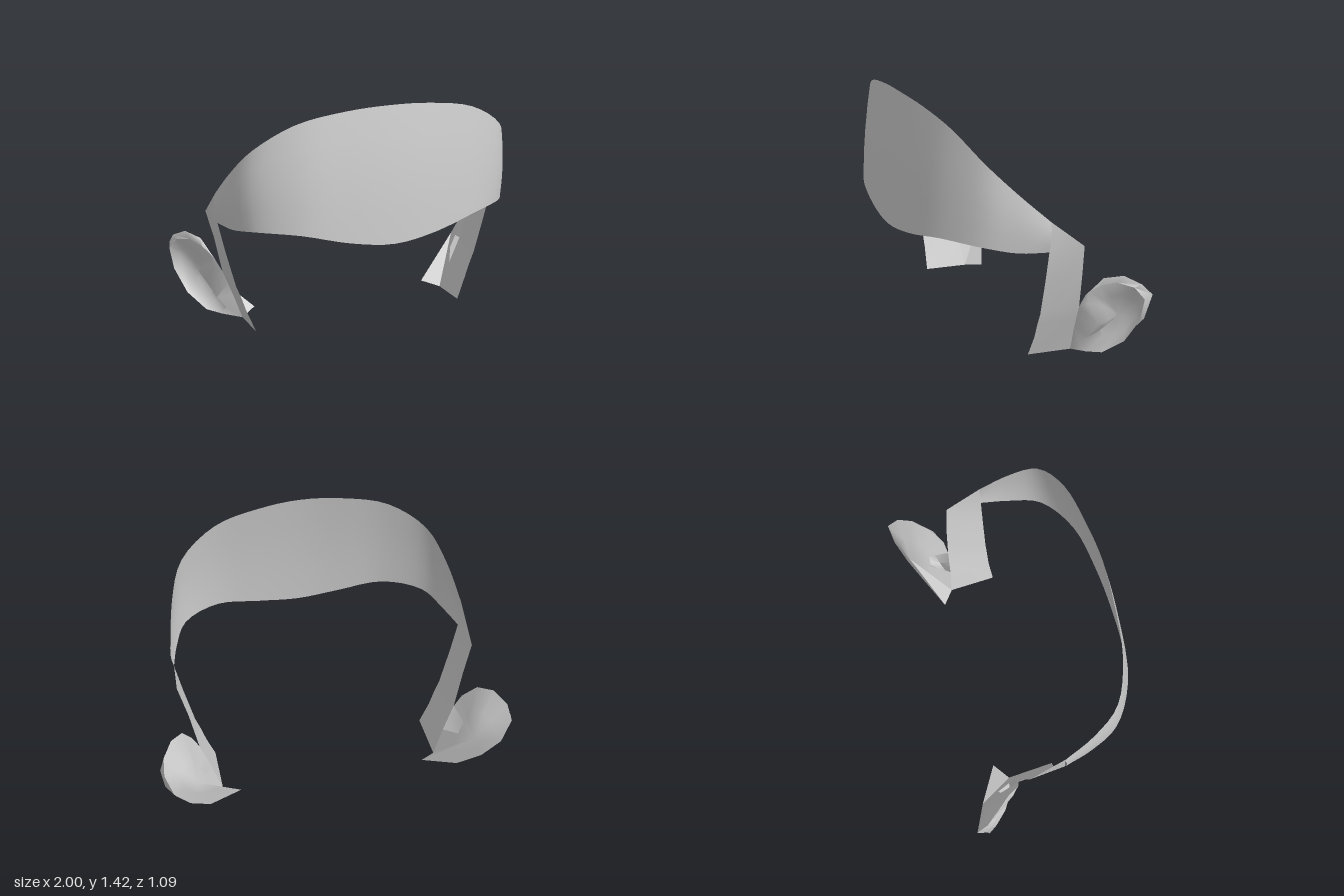
import * as THREE from 'three';
import { toCreasedNormals } from 'three/addons/utils/BufferGeometryUtils.js';

const material = new THREE.MeshStandardMaterial({ color: 0xcccccc, side: THREE.DoubleSide });
const V = (p) => new THREE.Vector3(...p);

// Skins neighbouring cross-sections; keep(row, column) may leave cells open.
function skin(name, rows, { side = 1, closed = false, crease = 0.8, keep = () => true } = {}) {
  const n = rows[0].length;
  const index = [];
  for (let r = 0; r < rows.length - 1; r++) {
    for (let c = 0; c < (closed ? n : n - 1); c++) {
      if (!keep(r, c)) continue;
      const d = (c + 1) % n;
      const a = r * n + c, b = r * n + d, e = a + n, f = b + n;
      index.push(a, e, b, b, e, f);
    }
  }
  const geometry = new THREE.BufferGeometry();
  const points = rows.flat().map((p) => new THREE.Vector3(p.x * side, p.y, p.z));
  geometry.setFromPoints(points);
  geometry.setIndex(index);
  const mesh = new THREE.Mesh(toCreasedNormals(geometry, crease), material);
  mesh.name = name;
  return mesh;
}

// Wide forehead band: matching points on its upper and lower edges, one half.
const bandTop = [[0, 1.43, 0.45], [0.24, 1.415, 0.435], [0.5, 1.36, 0.4],
  [0.71, 1.22, 0.315], [0.795, 1.06, 0.17], [0.835, 0.9, 0.005]];
const bandBottom = [[0, 0.69, 0.545], [0.24, 0.72, 0.53], [0.5, 0.778, 0.475],
  [0.71, 0.778, 0.34], [0.79, 0.742, 0.17], [0.83, 0.73, 0.01]];

function fullEdge(half) {
  const left = half.slice(1).reverse().map(([x, y, z]) => [-x, y, z]);
  return new THREE.CatmullRomCurve3([...left, ...half].map(V)).getPoints(40);
}

function buildBand() {
  const top = fullEdge(bandTop);
  const bottom = fullEdge(bandBottom);
  const rows = [0, 0.25, 0.5, 0.75, 1].map((t) => top.map((p, i) => {
    const q = p.clone().lerp(bottom[i], t);
    const bulge = 0.012 * 4 * t * (1 - t);
    const out = new THREE.Vector3(q.x, 0, q.z).normalize();
    return q.addScaledVector(out, bulge);
  }));
  return skin('foreheadBand', rows);
}

// Side strap: front edge and back edge at each level.
const strapFront = [[0.835, 0.9, 0.005], [0.83, 0.73, 0.01], [0.79, 0.55, 0.005], [0.735, 0.33, 0],
  [0.705, 0.25, 0], [0.68, 0.17, 0], [0.63, 0.04, 0.01]];
const strapBack = [[0.835, 0.9, 0.005], [0.845, 0.73, -0.195], [0.795, 0.55, -0.22], [0.75, 0.33, -0.235],
  [0.72, 0.25, -0.24], [0.69, 0.17, -0.245], [0.635, 0.01, -0.26]];

// Ear loops: the outer border and the folded front rim, starting at the strap.
const earBorder = [[0.75, 0.33, -0.235], [0.79, 0.41, -0.247], [0.85, 0.52, -0.32], [0.92, 0.545, -0.4],
  [0.975, 0.5, -0.48], [0.985, 0.43, -0.545], [0.94, 0.27, -0.53], [0.85, 0.14, -0.48],
  [0.73, 0.04, -0.41], [0.54, 0.035, -0.33], [0.635, 0.01, -0.26], [0.69, 0.17, -0.245], [0.72, 0.25, -0.24]];
const earRim = [[0.795, 0.36, -0.262], [0.805, 0.43, -0.26], [0.85, 0.48, -0.295], [0.905, 0.505, -0.37],
  [0.965, 0.485, -0.44], [1, 0.42, -0.485], [0.98, 0.29, -0.475], [0.92, 0.15, -0.42],
  [0.83, 0.06, -0.34], [0.75, 0.04, -0.29], [0.73, 0.09, -0.265], [0.775, 0.15, -0.29], [0.82, 0.23, -0.315]];

function buildEar(side) {
  const ear = new THREE.Group();
  ear.name = side > 0 ? 'leftEar' : 'rightEar';
  const border = earBorder.map(V);
  const rim = earRim.map(V);

  // Folded lip, then a bowl sinking towards its centre
  const bowlCentre = V([0.85, 0.28, -0.425]);
  const bowl = [[0.4, 0.025], [0.75, 0.012], [1, 0]].map(([t, depth]) => rim.map((p) => {
    const q = p.clone().lerp(bowlCentre, t);
    q.z -= depth;
    return q;
  }));
  ear.add(skin('earBowl', [border, rim, ...bowl], { side, closed: true, crease: 1 }));

  // Back of the ear, with a small opening beside the strap
  const backCentre = V([0.8, 0.27, -0.465]);
  const back = [0, 0.5, 1].map((t) => border.map((p) => p.clone().lerp(backCentre, t)));
  ear.add(skin('earBack', back, {
    side, closed: true, crease: 1, keep: (r, c) => r > 0 || c < 11,
  }));
  return ear;
}

export function createModel() {
  const model = new THREE.Group();
  model.name = 'headbandWithEars';
  model.add(buildBand());
  for (const side of [1, -1]) {
    const name = side > 0 ? 'leftStrap' : 'rightStrap';
    const rows = strapFront.map((p, i) => [V(p), V(p).lerp(V(strapBack[i]), 0.5), V(strapBack[i])]);
    model.add(skin(name, rows, { side }));
    model.add(buildEar(side));
  }
  return model;
}
